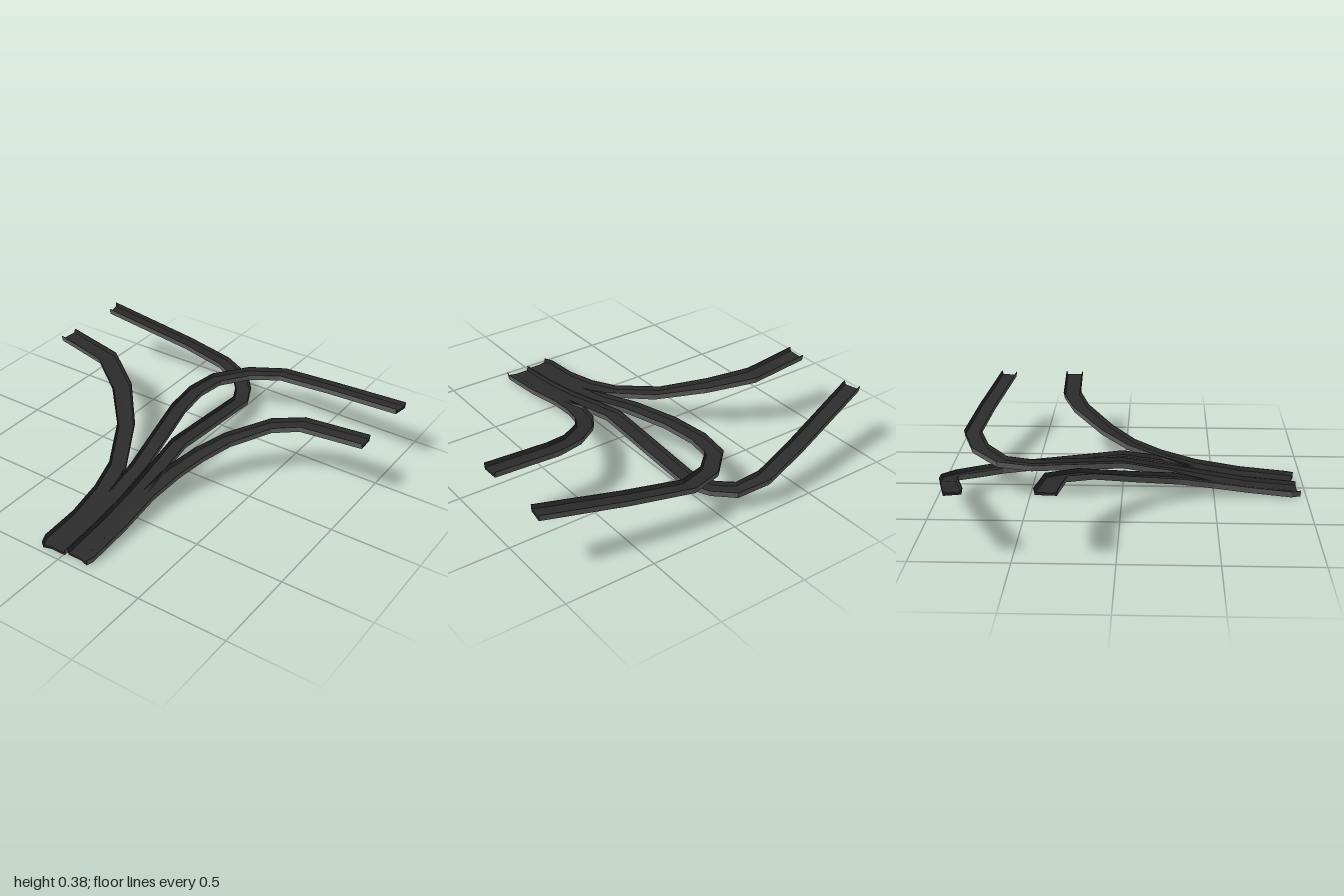
import * as THREE from 'three';

const DECK = 0.013, CURB = 0.034;

// Sweeps a trough section (deck with flared parapets) along points [x, z, y, width].
// Beyond z = merge the parapet on the shared side (-1 left, 1 right) lies flush with the deck.
function ramp(name, points, merge, sharedSide, materials) {
  const rings = points.map(([x, z, y, w], i) => {
    const dir = (a, b) => new THREE.Vector2(b[0] - a[0], b[1] - a[1]).normalize();
    const before = dir(points[Math.max(i - 1, 0)], points[Math.max(i, 1)]);
    const after = i < points.length - 1 ? dir(points[i], points[i + 1]) : before;
    const f = before.clone().add(after).normalize();
    const miter = 1 / Math.max(f.dot(after), 0.7);
    const top = side => (z > merge && side === sharedSide ? DECK : CURB);
    const section = [
      [-0.44, 0], [0.44, 0],
      [0.5, top(1)], [0.465, top(1)], [0.4, DECK],
      [-0.4, DECK], [-0.465, top(-1)], [-0.5, top(-1)],
    ];
    return section.map(([u, v]) => [x - f.y * u * w * miter, y + v, z + f.x * u * w * miter]);
  });

  const concrete = [], asphalt = [];
  for (let i = 0; i < rings.length - 1; i++) {
    for (let k = 0; k < 8; k++) {
      const n = (k + 1) % 8;
      const a = rings[i][k], b = rings[i][n], c = rings[i + 1][k], d = rings[i + 1][n];
      const target = k < 2 || k === 7 ? concrete : asphalt;
      target.push(...a, ...c, ...b, ...b, ...c, ...d);
    }
  }
  // End caps
  const first = rings[0], last = rings[rings.length - 1];
  for (const [a, b, c] of [[0, 1, 4], [0, 4, 5], [1, 2, 3], [1, 3, 4], [0, 5, 6], [0, 6, 7]]) {
    asphalt.push(...first[a], ...first[b], ...first[c]);
    asphalt.push(...last[a], ...last[c], ...last[b]);
  }

  const geometry = new THREE.BufferGeometry();
  geometry.setAttribute('position', new THREE.Float32BufferAttribute([...concrete, ...asphalt], 3));
  geometry.addGroup(0, concrete.length / 3, 0);
  geometry.addGroup(concrete.length / 3, asphalt.length / 3, 1);
  geometry.computeVertexNormals();
  const mesh = new THREE.Mesh(geometry, materials);
  mesh.name = name;
  return mesh;
}

export function createModel() {
  const group = new THREE.Group();
  group.name = 'roadInterchange';
  const concrete = new THREE.MeshStandardMaterial({ color: 0x666666 });
  concrete.name = 'concrete grey';
  const asphalt = new THREE.MeshStandardMaterial({ color: 0x2c2c2c });
  asphalt.name = 'asphalt dark';
  const materials = [concrete, asphalt];

  // Outer ramp bending to the right side (-x)
  group.add(ramp('rightExitRamp', [
    [-0.08, 0.955, 0, 0.1], [-0.095, 0.91, 0.002, 0.11], [-0.095, 0.7, 0.022, 0.1],
    [-0.115, 0.49, 0.054, 0.095], [-0.155, 0.3, 0.09, 0.1], [-0.295, 0.04, 0.155, 0.1],
    [-0.483, -0.17, 0.24, 0.115], [-0.69, -0.305, 0.3, 0.118], [-1, -0.325, 0.35, 0.118],
  ], 0.45, 1, materials));

  // Upper flyover crossing to the left side (+x)
  group.add(ramp('upperFlyover', [
    [-0.035, 0.955, 0, 0.095], [-0.035, 0.7, 0.022, 0.095], [-0.036, 0.49, 0.054, 0.095],
    [-0.047, 0.25, 0.1, 0.095], [-0.085, 0, 0.152, 0.095], [-0.15, -0.27, 0.165, 0.095],
    [-0.176, -0.48, 0.165, 0.095], [-0.145, -0.65, 0.172, 0.095], [-0.003, -0.787, 0.195, 0.1],
    [0.185, -0.857, 0.22, 0.095], [0.53, -0.817, 0.268, 0.095], [0.99, -0.745, 0.335, 0.098],
  ], 0.45, -1, materials));

  // Outer ramp bending to the left side (+x)
  group.add(ramp('leftExitRamp', [
    [0.105, 0.94, 0, 0.1], [0.115, 0.91, 0.002, 0.1], [0.115, 0.65, 0.028, 0.1],
    [0.115, 0.4, 0.07, 0.095], [0.145, 0.2, 0.112, 0.1], [0.2, 0.04, 0.155, 0.1],
    [0.29, -0.1, 0.21, 0.1], [0.465, -0.26, 0.282, 0.1], [0.62, -0.322, 0.315, 0.104],
    [0.99, -0.334, 0.34, 0.104],
  ], 0.22, -1, materials));

  // Lower flyover crossing to the right side (-x)
  group.add(ramp('lowerFlyover', [
    [0.062, 0.94, 0, 0.095], [0.062, 0.65, 0.028, 0.095], [0.06, 0.4, 0.07, 0.095],
    [0.052, 0.2, 0.112, 0.095], [0.038, 0, 0.145, 0.095], [0.028, -0.35, 0.108, 0.095],
    [0.018, -0.67, 0.074, 0.095], [-0.035, -0.78, 0.073, 0.095], [-0.115, -0.873, 0.085, 0.095],
    [-0.26, -0.912, 0.125, 0.095], [-0.5, -0.875, 0.2, 0.095], [-1, -0.762, 0.345, 0.098],
  ], 0.22, 1, materials));

  return group;
}
